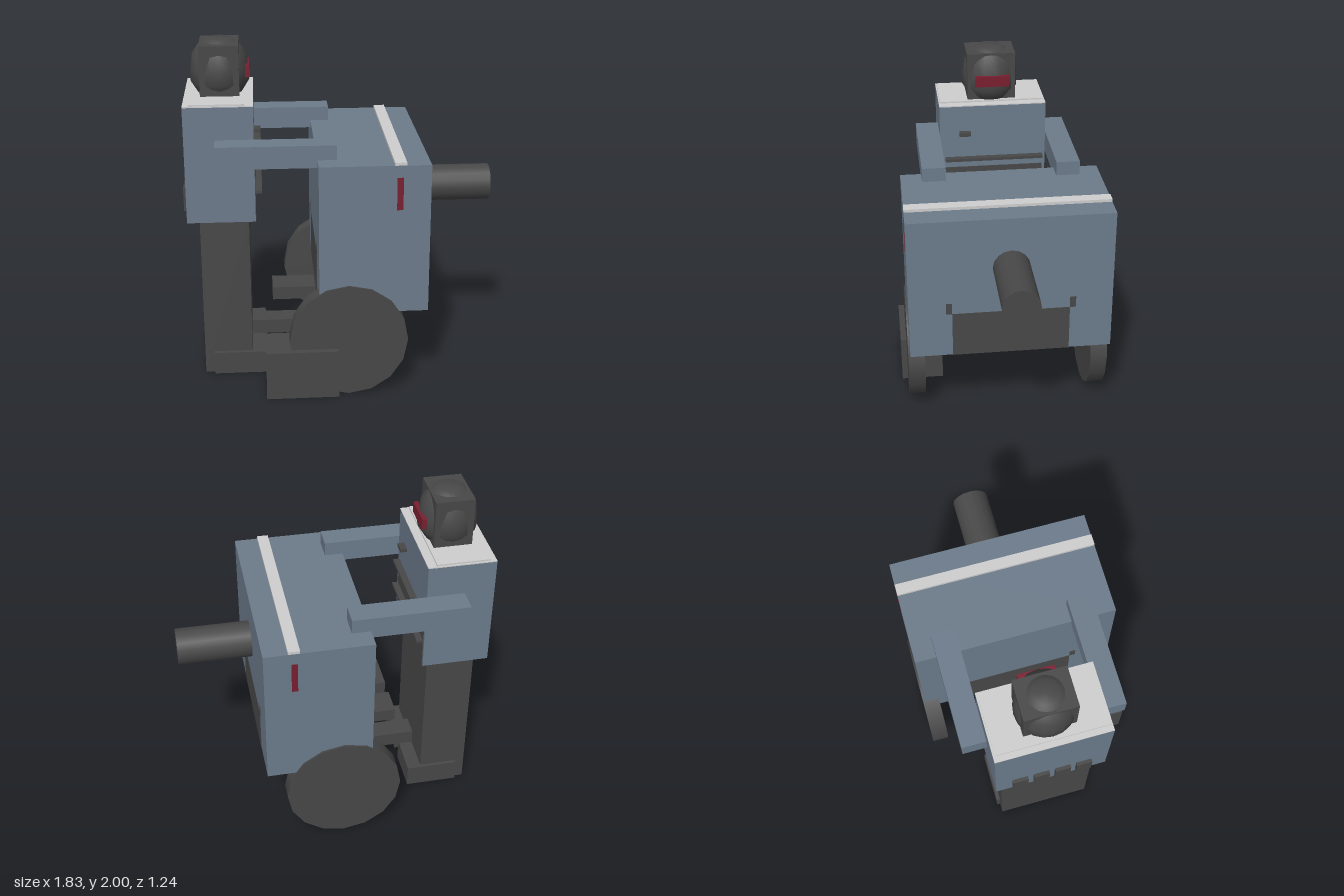
import * as THREE from 'three';

const mat = (name, color) => {
  const m = new THREE.MeshStandardMaterial({ color });
  m.name = name;
  return m;
};

export function createModel() {
  const blue = mat('slate blue', 0x6c7b8b);
  const dark = mat('charcoal', 0x484848);
  const pale = mat('light grey', 0xcecece);
  const red = mat('dark red', 0x7a1f30);
  const model = new THREE.Group();
  const MID = -0.018; // centre plane of the cart and figure

  const add = (parent, name, geometry, material) => {
    const mesh = new THREE.Mesh(geometry, material);
    mesh.name = name;
    parent.add(mesh);
    return mesh;
  };
  // box given by its extents on each axis
  const box = (parent, name, material, [x0, x1], [y0, y1], [z0, z1]) => {
    const m = add(parent, name, new THREE.BoxGeometry(x1 - x0, y1 - y0, z1 - z0), material);
    m.position.set((x0 + x1) / 2, (y0 + y1) / 2, (z0 + z1) / 2);
    return m;
  };
  const group = (name) => {
    const g = new THREE.Group();
    g.name = name;
    model.add(g);
    return g;
  };

  // cart: body, dark lower hull, stripe, barrel and wheels
  const cart = group('cart');
  box(cart, 'cartBody', blue, [-0.15, 0.475], [0.52, 1.4], [-0.61, 0.575]);
  box(cart, 'lowerHull', dark, [-0.152, 0.477], [0.518, 0.8], [-0.36, 0.325]);
  box(cart, 'topStripe', pale, [0.27, 0.337], [1.4, 1.417], [-0.61, 0.575]);
  for (const z of [-0.395, 0.325])
    box(cart, 'hullBracket', dark, [-0.152, 0.477], [0.8, 0.87], [z, z + 0.035]);
  for (const z of [-0.612, 0.573])
    box(cart, 'sideLight', red, [0.285, 0.32], [1.14, 1.33], [z, z + 0.004]);

  const barrel = add(cart, 'barrel', new THREE.CylinderGeometry(0.108, 0.108, 0.45, 16), dark);
  barrel.rotation.z = Math.PI / 2;
  barrel.position.set(0.685, 1.09, MID);

  for (const side of [-1, 1]) {
    const wheel = add(cart, 'wheel', new THREE.CylinderGeometry(0.343, 0.343, 0.1, 16), dark);
    wheel.rotation.x = Math.PI / 2;
    wheel.position.set(0.02, 0.345, MID + side * 0.553);
  }
  box(cart, 'sideBlock', dark, [-0.46, -0.04], [0, 0.295], [0.36, 0.62]);
  box(cart, 'upperTowBar', dark, [-0.41, -0.15], [0.38, 0.46], [-0.107, 0.07]);
  box(cart, 'lowerTowBar', dark, [-0.54, -0.15], [0.14, 0.23], [-0.082, 0.047]);

  // figure: legs, feet, torso and arms
  const figure = group('figure');
  box(figure, 'legs', dark, [-0.825, -0.54], [0, 0.99], [-0.3, 0.265]);
  for (const z of [-0.32, 0.03])
    box(figure, 'foot', dark, [-0.77, -0.455], [0, 0.138], [z, z + 0.26]);
  box(figure, 'torso', blue, [-0.895, -0.5], [0.99, 1.675], [-0.347, 0.31]);
  box(figure, 'shoulderPlate', pale, [-0.895, -0.498], [1.675, 1.681], [-0.347, 0.31]);
  box(figure, 'collarPlate', pale, [-0.86, -0.55], [1.681, 1.69], [-0.337, 0.303]);
  box(figure, 'waistPanel', dark, [-0.503, -0.497], [0.99, 1.27], [-0.33, 0.28]);
  for (const y of [1.15, 1.322])
    box(figure, 'chestBar', dark, [-0.5, -0.46], [y, y + 0.018], [-0.33, 0.28]);
  box(figure, 'chestButton', dark, [-0.5, -0.46], [1.49, 1.512], [0.12, 0.19]);
  for (let i = 0; i < 4; i++)
    box(figure, 'backVent', dark, [-0.915, -0.895], [1.03, 1.17],
      [-0.25 + i * 0.125, -0.16 + i * 0.125]);
  for (const z of [-0.487, 0.31])
    box(figure, 'arm', blue, [-0.72, -0.04], [1.355, 1.485], [z, z + 0.14]);

  // head: rounded core pushed through a box, with a visor
  const head = group('head');
  const profile = [[0, 1.688], [0.13, 1.69], [0.17, 1.755], [0.168, 1.83], [0.155, 1.915],
    [0.12, 1.965], [0.07, 2], [0, 2]].map(([r, y]) => new THREE.Vector2(r, y));
  const core = add(head, 'headCore', new THREE.LatheGeometry(profile, 20), dark);
  core.position.set(-0.688, 0, MID);
  box(head, 'headBox', dark, [-0.8, -0.575], [1.69, 1.98], [-0.166, 0.129]);
  box(head, 'visor', red, [-0.54, -0.513], [1.79, 1.855], [-0.122, 0.083]);

  return model;
}
